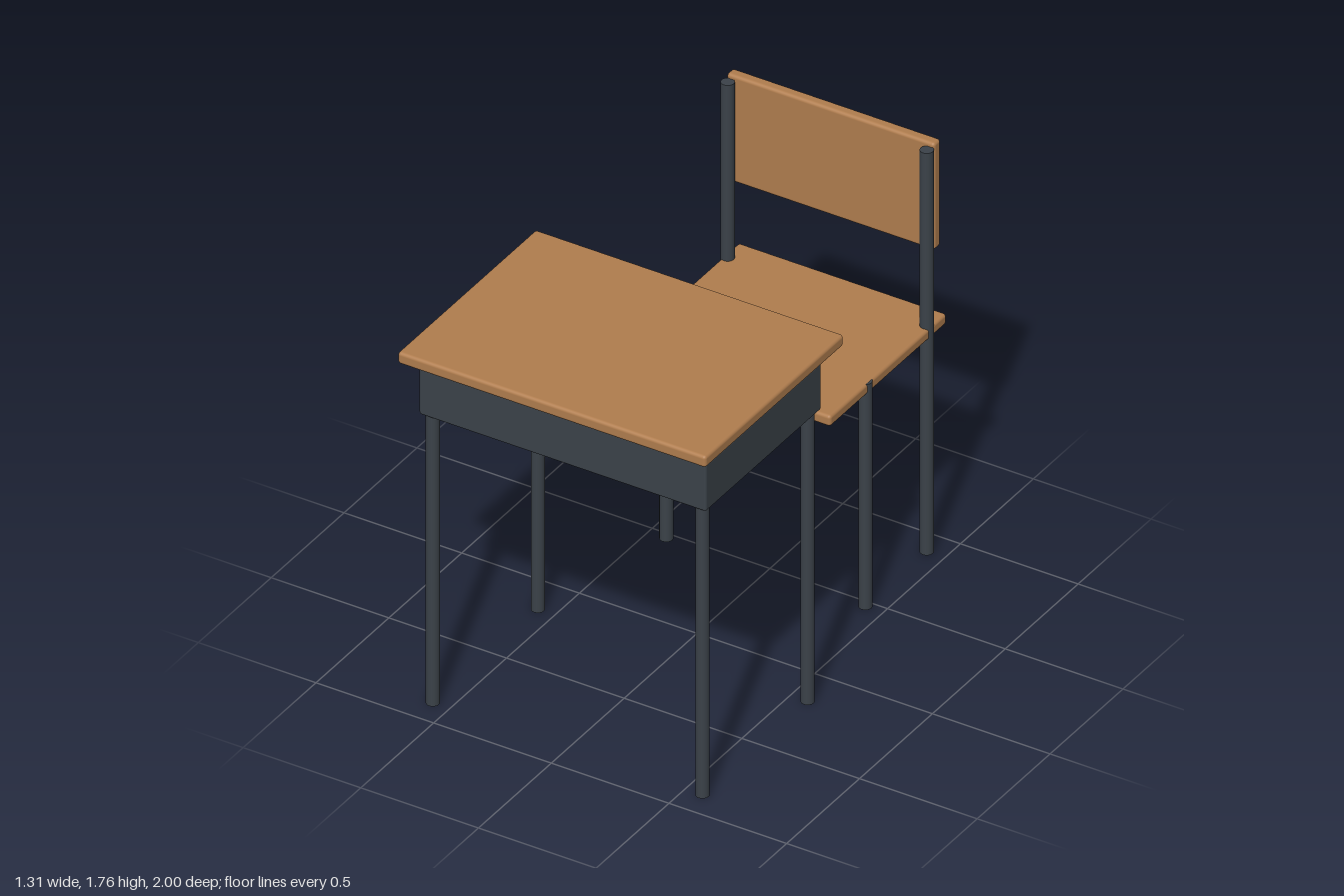
import * as THREE from 'three';
import { RoundedBoxGeometry } from 'three/addons/geometries/RoundedBoxGeometry.js';

export function createModel() {
  const wood = new THREE.MeshStandardMaterial({ color: 0xb07d4e });
  wood.name = 'wood';
  const metal = new THREE.MeshStandardMaterial({ color: 0x3b4249 });
  metal.name = 'dark metal';

  // Rounded board given by its half width and its y and z extents
  function board(parent, name, material, halfWidth, y0, y1, z0, z1, radius) {
    const geometry = new RoundedBoxGeometry(halfWidth * 2, y1 - y0, z1 - z0, 3, radius);
    const mesh = new THREE.Mesh(geometry, material);
    mesh.name = name;
    mesh.position.set(0, (y0 + y1) / 2, (z0 + z1) / 2);
    parent.add(mesh);
  }

  // Mirrored pair of round legs standing on the floor
  function legPair(parent, name, x, z, height) {
    const geometry = new THREE.CylinderGeometry(0.026, 0.026, height, 16);
    for (const side of [1, -1]) {
      const leg = new THREE.Mesh(geometry, metal);
      leg.name = (side > 0 ? 'left' : 'right') + name;
      leg.position.set(side * x, height / 2, z);
      parent.add(leg);
    }
  }

  // Desk: top floating just above the storage box, four legs
  const desk = new THREE.Group();
  desk.name = 'desk';
  board(desk, 'deskTop', wood, 0.655, 1.502, 1.552, 0.05, 1, 0.013);
  board(desk, 'storageBox', metal, 0.61, 1.256, 1.46, 0.13, 0.925, 0.01);
  legPair(desk, 'FrontDeskLeg', 0.573, 0.888, 1.27);
  legPair(desk, 'BackDeskLeg', 0.573, 0.167, 1.27);

  // Chair: seat, backrest behind the tall rear posts
  const chair = new THREE.Group();
  chair.name = 'chair';
  board(chair, 'seat', wood, 0.442, 0.932, 0.979, -1, -0.2, 0.013);
  board(chair, 'backrest', wood, 0.442, 1.296, 1.758, -0.96, -0.914, 0.013);
  legPair(chair, 'FrontChairLeg', 0.423, -0.472, 0.976);
  legPair(chair, 'BackChairPost', 0.423, -0.893, 1.74);

  const model = new THREE.Group();
  model.name = 'schoolDeskAndChair';
  model.add(desk, chair);
  return model;
}
